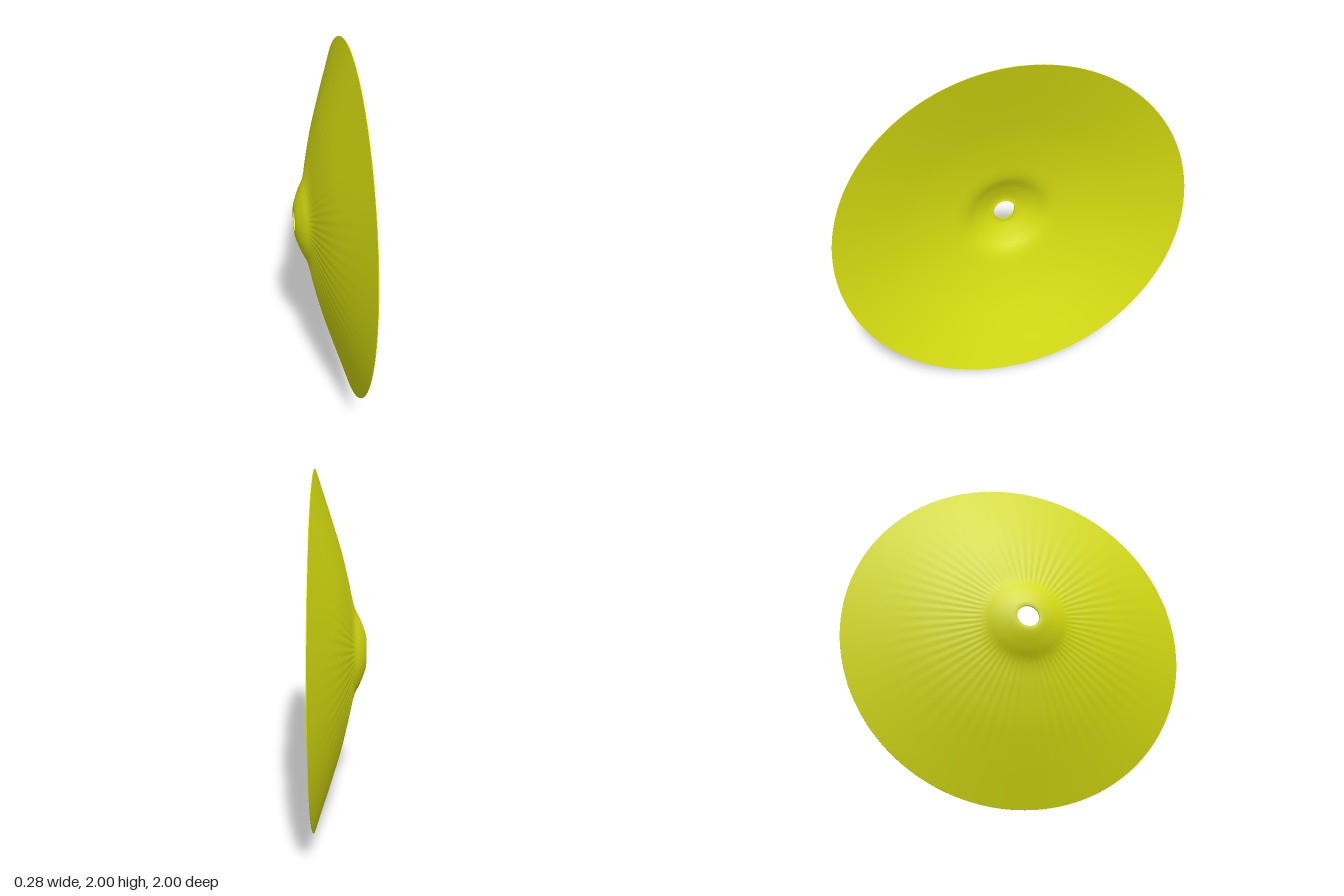
import * as THREE from 'three';
import { mergeVertices } from 'three/addons/utils/BufferGeometryUtils.js';

const SEGMENTS = 256;
const RIDGES = 64;
const HOLE = 0.062;
const BELL = 0.265;

// Back profile as (radius, height along the axis), from hole to rim
const PROFILE = [
  [HOLE, -0.143], [0.085, -0.143], [0.125, -0.132], [0.185, -0.108], [0.265, -0.07],
  [0.4, -0.04], [0.565, 0], [0.74, 0.053], [0.88, 0.098], [1, 0.137],
].map(([r, h]) => new THREE.Vector2(r, h));

export function createModel() {
  const group = new THREE.Group();
  group.name = 'cymbal';
  const material = new THREE.MeshStandardMaterial({ color: 0xd9e010 });

  // Turns a profile around the x axis
  function addTurned(name, points, shape) {
    let geometry = new THREE.LatheGeometry(points, SEGMENTS);
    if (shape) {
      shape(geometry.attributes.position);
      geometry.deleteAttribute('normal');
      geometry.deleteAttribute('uv');
      geometry = mergeVertices(geometry);
      geometry.computeVertexNormals();
    }
    geometry.rotateZ(-Math.PI / 2);
    const mesh = new THREE.Mesh(geometry, material);
    mesh.name = name;
    group.add(mesh);
  }

  const back = new THREE.SplineCurve(PROFILE).getPoints(36);
  // The sheet thins from the bell to the rim
  const front = back.map((p) => new THREE.Vector2(p.x, p.y + 0.009 - 0.006 * p.x));

  // Convex back with fine radial ridges that fade out towards the rim
  addTurned('back', back, (position) => {
    for (let i = 0; i < position.count; i++) {
      const x = position.getX(i), z = position.getZ(i);
      const r = Math.hypot(x, z);
      const fade = THREE.MathUtils.smoothstep(r, BELL - 0.04, BELL + 0.02)
        * (1 - THREE.MathUtils.smoothstep(r, BELL, 0.95));
      const ridge = 0.5 + 0.5 * Math.cos(RIDGES * Math.atan2(z, x));
      position.setY(i, position.getY(i) - 0.003 * fade * ridge);
    }
  });

  // Smooth concave face
  addTurned('face', [...front].reverse());

  // Thin edges at the rim and around the centre hole
  addTurned('rim', [back.at(-1), front.at(-1)]);
  addTurned('holeEdge', [front[0], back[0]]);

  group.position.y = 1;
  const model = new THREE.Group();
  model.add(group);
  return model;
}
